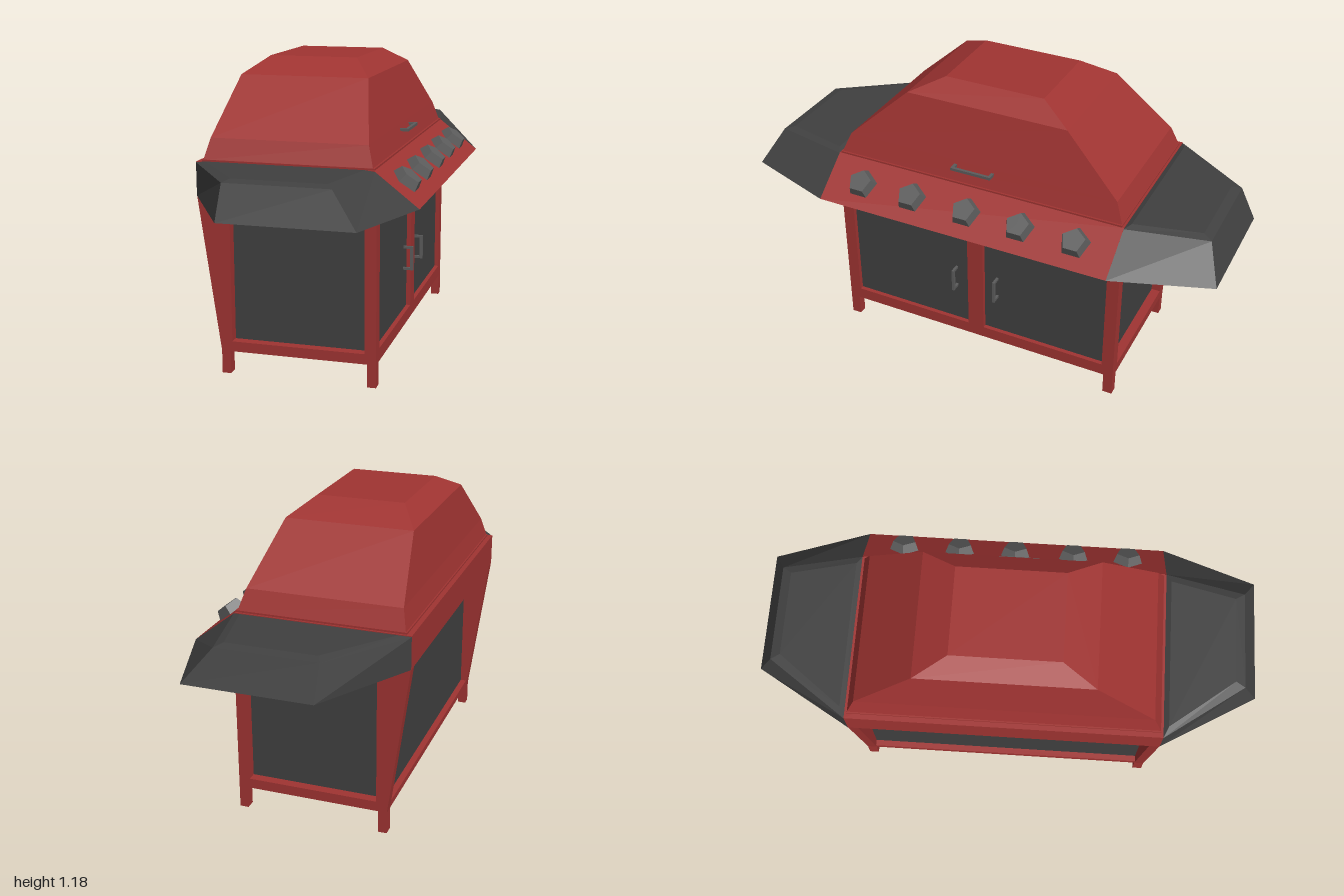
import * as THREE from 'three';

const mat = (color) => new THREE.MeshStandardMaterial({ color, flatShading: true });

export function createModel() {
  const grill = new THREE.Group();
  grill.name = 'barbecueGrill';
  const red = mat(0xa03432), dark = mat(0x404040), steel = mat(0x5c5c5c);

  const add = (name, geometry, material, parent = grill) => {
    const mesh = new THREE.Mesh(geometry, material);
    mesh.name = name;
    parent.add(mesh);
    return mesh;
  };

  // Box given by its lower and upper corner
  const box = (name, material, [x0, y0, z0], [x1, y1, z1], parent) => {
    const g = new THREE.BoxGeometry(x1 - x0, y1 - y0, z1 - z0);
    g.translate((x0 + x1) / 2, (y0 + y1) / 2, (z0 + z1) / 2);
    return add(name, g, material, parent);
  };

  // Outline with holes, extruded along z from zero
  const plate = (outline, holes, depth) => {
    const toPoints = (list) => list.map(([x, y]) => new THREE.Vector2(x, y));
    const shape = new THREE.Shape(toPoints(outline));
    for (const [x0, y0, x1, y1] of holes) {
      shape.holes.push(new THREE.Path(toPoints([[x0, y0], [x0, y1], [x1, y1], [x1, y0]])));
    }
    return new THREE.ExtrudeGeometry(shape, { depth, bevelEnabled: false });
  };

  // Closed faceted solid through stacked rings, counter-clockwise from above
  const loft = (rings) => {
    const pos = [], n = rings[0].length, top = rings[rings.length - 1];
    const tri = (a, b, c) => pos.push(...a, ...b, ...c);
    for (let r = 0; r < rings.length - 1; r++) {
      for (let i = 0; i < n; i++) {
        const j = (i + 1) % n, a = rings[r], b = rings[r + 1];
        tri(a[i], a[j], b[j]);
        tri(a[i], b[j], b[i]);
      }
    }
    for (let i = 1; i < n - 1; i++) {
      tri(top[0], top[i], top[i + 1]);
      tri(rings[0][0], rings[0][i + 1], rings[0][i]);
    }
    const g = new THREE.BufferGeometry();
    g.setAttribute('position', new THREE.Float32BufferAttribute(pos, 3));
    g.computeVertexNormals();
    return g;
  };

  // Cabinet: tapered side frames, recessed side panels, legs
  const sideOutline = [[-0.345, 0.09], [0.265, 0.09], [0.265, 0.7], [-0.43, 0.7]];
  for (const s of [1, -1]) {
    const frame = plate(sideOutline, [[-0.302, 0.13, 0.22, 0.65]], 0.04);
    frame.translate(0, 0, s > 0 ? 0.58 : -0.62);
    add('sideFrame', frame, red);
    box('sidePanel', dark, [-0.31, 0.11, s * 0.575 - 0.007], [0.235, 0.68, s * 0.575 + 0.007]);
    for (const x of [-0.345, 0.23]) {
      const z = s > 0 ? 0.58 : -0.62;
      box('leg', red, [x, 0, z], [x + 0.035, 0.09, z + 0.04]);
    }
  }

  // Cabinet: front frame with two door openings, back and floor
  const frontFrame = plate(
    [[-0.62, 0.09], [0.62, 0.09], [0.62, 0.7], [-0.62, 0.7]],
    [[-0.57, 0.14, -0.035, 0.64], [0.035, 0.14, 0.57, 0.64]], 0.035);
  frontFrame.rotateY(Math.PI / 2).translate(0.23, 0, 0);
  add('frontFrame', frontFrame, red);
  box('backPanel', dark, [-0.32, 0.09, -0.58], [-0.305, 0.7, 0.58]);
  box('backRail', red, [-0.345, 0.09, -0.58], [-0.305, 0.115, 0.58]);
  box('floor', red, [-0.343, 0.09, -0.58], [0.23, 0.105, 0.58]);

  // Doors with bracket handles
  for (const s of [1, -1]) {
    const door = new THREE.Group();
    door.name = 'door';
    grill.add(door);
    box('doorPanel', dark, [0.232, 0.13, s * 0.3025 - 0.275], [0.247, 0.65, s * 0.3025 + 0.275], door);
    const z0 = s * 0.093 - 0.005, z1 = z0 + 0.01;
    box('handleBar', steel, [0.275, 0.31, z0], [0.288, 0.41, z1], door);
    for (const y of [0.31, 0.4]) {
      box('handlePost', steel, [0.245, y, z0], [0.277, y + 0.01, z1], door);
    }
  }

  // Firebox with the sloping control panel along the front
  const firebox = plate([[-0.43, 0.695], [0.422, 0.695], [0.255, 0.825], [-0.43, 0.825]], [], 1.24);
  firebox.translate(0, 0, -0.62);
  add('firebox', firebox, red);
  box('lidRim', red, [-0.41, 0.82, -0.612], [0.255, 0.832, 0.612]);

  // Five-sided control knobs, one corner pointing up the slope
  const tilt = Math.atan2(0.13, 0.167);
  for (const z of [0.465, 0.24, 0, -0.23, -0.46]) {
    const knob = new THREE.Group();
    knob.name = 'knob';
    knob.position.set(0.338, 0.76, z);
    knob.rotation.z = -tilt;
    const g = new THREE.CylinderGeometry(0.048, 0.062, 0.036, 5);
    g.rotateY(-Math.PI / 2 - Math.PI).rotateY(Math.PI).translate(0, 0.018, 0);
    add('knobBody', g, steel, knob);
    grill.add(knob);
  }

  // Faceted lid: [y, back x, front x, half length]
  const lidRings = [
    [0.83, -0.405, 0.248, 0.61],
    [0.91, -0.386, 0.224, 0.577],
    [1.122, -0.348, 0.16, 0.342],
    [1.185, -0.272, 0.08, 0.21],
  ].map(([y, b, f, h]) => [[f, y, h], [f, y, -h], [b, y, -h], [b, y, h]]);
  add('lid', loft(lidRings), red);

  // Lid handle
  box('lidHandleBar', steel, [0.252, 0.885, -0.07], [0.264, 0.896, 0.102]);
  for (const z of [-0.07, 0.09]) {
    box('lidHandlePost', steel, [0.215, 0.885, z], [0.254, 0.896, z + 0.012]);
  }

  // Side shelves: flared underside rising to a softly bevelled top
  const shelfRings = [
    [0.695, [[-0.43, 0.62], [-0.207, 1], [0.292, 1], [0.422, 0.62]]],
    [0.822, [[-0.43, 0.62], [-0.205, 0.937], [0.19, 0.937], [0.258, 0.62]]],
    [0.831, [[-0.385, 0.64], [-0.185, 0.9], [0.165, 0.9], [0.225, 0.64]]],
  ];
  for (const s of [1, -1]) {
    const rings = shelfRings.map(([y, pts]) => {
      const ring = pts.map(([x, z]) => [x, y, s * z]);
      return s > 0 ? ring : ring.reverse();
    });
    add(s > 0 ? 'shelfFrontEnd' : 'shelfBackEnd', loft(rings), dark);
  }

  return grill;
}
